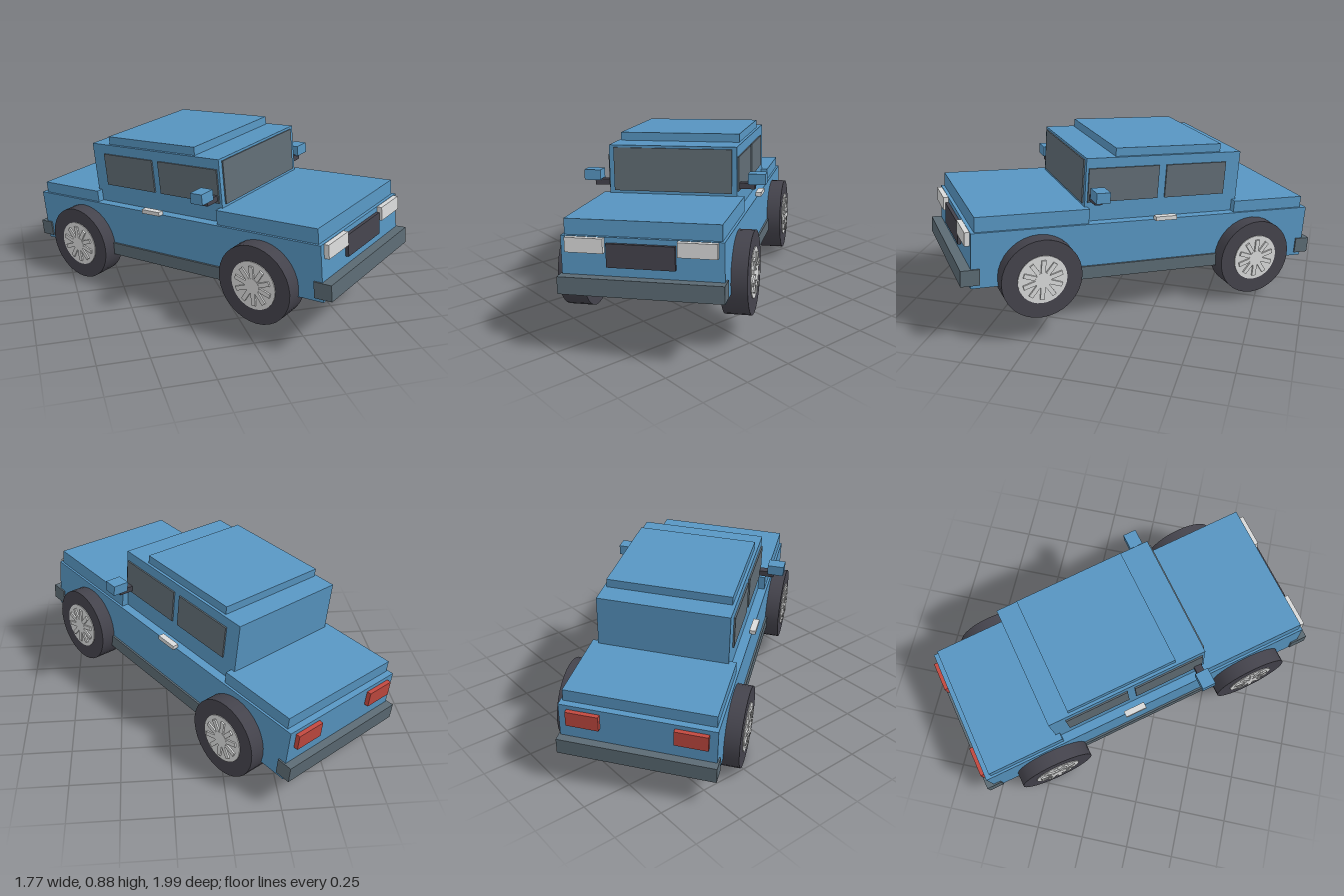
import * as THREE from 'three';

const mat = (name, color) => {
  const m = new THREE.MeshStandardMaterial({ color });
  m.name = name;
  return m;
};

export function createModel() {
  const paint = mat('bluePaint', 0x5795c1);
  const trim = mat('greyTrim', 0x5b6a73);
  const glass = mat('tintedGlass', 0x606c74);
  const rubber = mat('darkRubber', 0x44434c);
  const silver = mat('silver', 0xd8d9d9);
  const red = mat('tailRed', 0xc0483f);

  const car = new THREE.Group();
  car.name = 'car';

  // Box given by its minimum and maximum along each axis
  const box = (name, material, [x0, x1], [y0, y1], [z0, z1]) => {
    const mesh = new THREE.Mesh(new THREE.BoxGeometry(x1 - x0, y1 - y0, z1 - z0), material);
    mesh.position.set((x0 + x1) / 2, (y0 + y1) / 2, (z0 + z1) / 2);
    mesh.name = name;
    car.add(mesh);
  };
  // Same box on both sides, x measured outwards
  const pair = (name, material, [x0, x1], y, z) => {
    box(name + 'Left', material, [x0, x1], y, z);
    box(name + 'Right', material, [-x1, -x0], y, z);
  };

  // Bodywork
  box('lowerBody', paint, [-0.372, 0.372], [0.22, 0.497], [-0.92, 0.91]);
  box('hood', paint, [-0.36, 0.36], [0.49, 0.571], [0.33, 0.893]);
  box('rearDeck', paint, [-0.36, 0.36], [0.49, 0.557], [-0.888, -0.475]);
  box('cabin', paint, [-0.325, 0.325], [0.49, 0.815], [-0.497, 0.345]);
  box('roof', paint, [-0.31, 0.31], [0.81, 0.857], [-0.385, 0.19]);

  // Bumpers and sills
  box('frontBumper', trim, [-0.38, 0.38], [0.238, 0.319], [0.868, 0.96]);
  box('rearBumper', trim, [-0.38, 0.38], [0.238, 0.319], [-0.96, -0.88]);
  pair('sill', trim, [0.34, 0.382], [0.214, 0.28], [-0.42, 0.42]);

  // Windows
  box('windshield', glass, [-0.3, 0.3], [0.585, 0.803], [0.343, 0.352]);
  pair('frontWindow', glass, [0.324, 0.333], [0.595, 0.765], [-0.04, 0.332]);
  pair('rearWindow', glass, [0.324, 0.333], [0.595, 0.765], [-0.415, -0.08]);

  // Lights and grille
  pair('headlight', silver, [0.168, 0.346], [0.427, 0.495], [0.9, 0.935]);
  box('grille', rubber, [-0.157, 0.157], [0.363, 0.472], [0.9, 0.927]);
  pair('tailLight', red, [0.175, 0.333], [0.397, 0.475], [-0.942, -0.91]);

  // Door handles and mirrors
  pair('doorHandle', silver, [0.36, 0.392], [0.495, 0.516], [-0.13, -0.015]);
  pair('mirrorStem', rubber, [0.32, 0.41], [0.606, 0.636], [0.285, 0.325]);
  pair('mirror', paint, [0.378, 0.464], [0.631, 0.684], [0.268, 0.338]);

  // Wheels: axis along x, outer face towards +x
  const makeWheel = () => {
    const wheel = new THREE.Group();
    const disc = (name, material, radius, width, x) => {
      const geo = new THREE.CylinderGeometry(radius, radius, width, 32).rotateZ(Math.PI / 2);
      const mesh = new THREE.Mesh(geo, material);
      mesh.position.x = x;
      mesh.name = name;
      wheel.add(mesh);
    };
    disc('tyre', rubber, 0.2, 0.125, 0);
    disc('rim', silver, 0.122, 0.133, 0);
    disc('hubCap', silver, 0.04, 0.012, 0.07);
    for (let i = 0; i < 10; i++) {
      const geo = new THREE.BoxGeometry(0.01, 0.08, 0.022).translate(0.07, 0.06, 0);
      const spoke = new THREE.Mesh(geo, silver);
      spoke.rotation.x = (i / 10) * Math.PI * 2;
      spoke.name = 'spoke';
      wheel.add(spoke);
    }
    return wheel;
  };
  for (const side of [1, -1]) {
    for (const end of [1, -1]) {
      const wheel = makeWheel();
      wheel.name = (end > 0 ? 'front' : 'rear') + 'Wheel' + (side > 0 ? 'Left' : 'Right');
      wheel.position.set(side * 0.385, 0.267, end * 0.583);
      if (side < 0) wheel.rotation.y = Math.PI;
      car.add(wheel);
    }
  }

  // Pose: turned to its left, nose raised, leaning slightly
  car.position.set(0.0125, 0, 0.021);
  const pose = new THREE.Group();
  pose.name = 'tiltedPose';
  pose.rotation.set(-0.084, 0.649, 0.037, 'YXZ');
  pose.add(car);
  const model = new THREE.Group();
  model.name = 'model';
  model.add(pose);
  return model;
}
